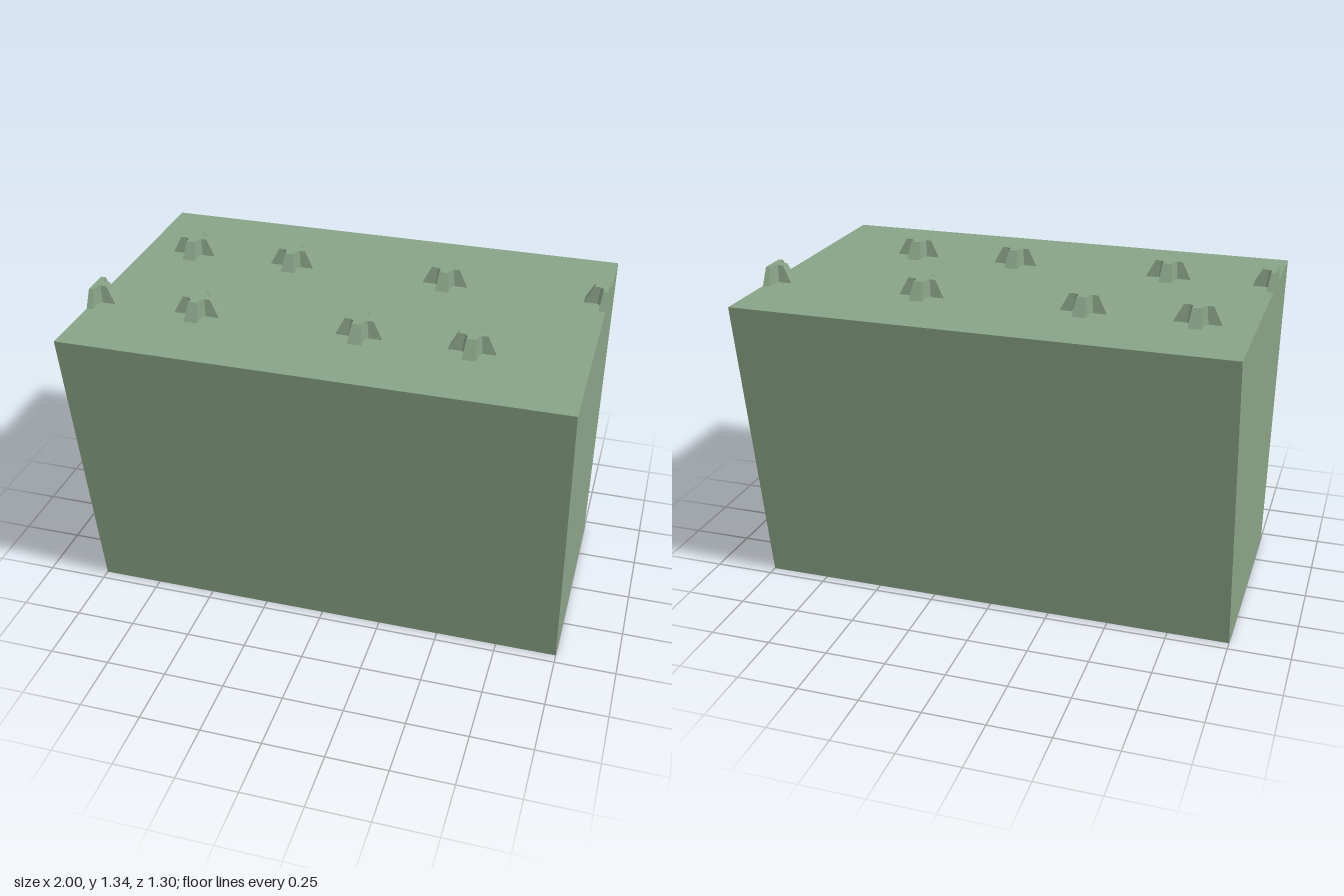
import * as THREE from 'three';

const TOP = 1.265, STUD_TOP = 1.335;

// Outline of a cross with chamfered inner corners: r = reach, w = half arm width, c = inner corner
function crossOutline(r, w, c) {
  const pts = [];
  for (let q = 0; q < 4; q++) {
    const cos = Math.round(Math.cos(q * Math.PI / 2));
    const sin = Math.round(Math.sin(q * Math.PI / 2));
    for (const [x, z] of [[r, -w], [r, w], [c, w], [w, c]]) {
      pts.push([x * cos - z * sin, x * sin + z * cos]);
    }
  }
  return pts;
}

// Tapered cross, cut flush with the ends of the block where it would overhang
function studGeometry(cx, cz) {
  const base = crossOutline(0.094, 0.028, 0.04);
  const top = crossOutline(0.057, 0.019, 0.033);
  const pos = [];
  const put = ([x, z], y) => pos.push(THREE.MathUtils.clamp(cx + x, -1, 1), y, cz + z);
  base.forEach((b, i) => {
    const j = (i + 1) % base.length;
    put(b, TOP); put(top[i], STUD_TOP); put(base[j], TOP);
    put(top[i], STUD_TOP); put(top[j], STUD_TOP); put(base[j], TOP);
    put([0, 0], STUD_TOP); put(top[j], STUD_TOP); put(top[i], STUD_TOP);
  });
  const geo = new THREE.BufferGeometry();
  geo.setAttribute('position', new THREE.Float32BufferAttribute(pos, 3));
  geo.computeVertexNormals();
  return geo;
}

export function createModel() {
  const model = new THREE.Group();
  model.name = 'studdedBlock';
  const green = new THREE.MeshStandardMaterial({ color: 0x88a386, flatShading: true });

  // Block that widens towards the top, extruded along x
  const section = new THREE.Shape([
    new THREE.Vector2(-0.458, 0), new THREE.Vector2(0.458, 0),
    new THREE.Vector2(0.648, TOP), new THREE.Vector2(-0.648, TOP),
  ]);
  const blockGeo = new THREE.ExtrudeGeometry(section, { depth: 2, bevelEnabled: false });
  blockGeo.translate(0, 0, -1).rotateY(Math.PI / 2);
  const block = new THREE.Mesh(blockGeo, green);
  block.name = 'block';
  model.add(block);

  // Two staggered rows of cross-shaped studs
  const studs = new THREE.Group();
  studs.name = 'studs';
  const rows = [
    { z: -0.267, xs: [-0.778, -0.333, 0.333, 1] },
    { z: 0.267, xs: [-1, -0.556, 0.111, 0.556] },
  ];
  for (const { z, xs } of rows) {
    for (const x of xs) {
      const stud = new THREE.Mesh(studGeometry(x, z), green);
      stud.name = 'crossStud';
      studs.add(stud);
    }
  }
  model.add(studs);
  return model;
}
